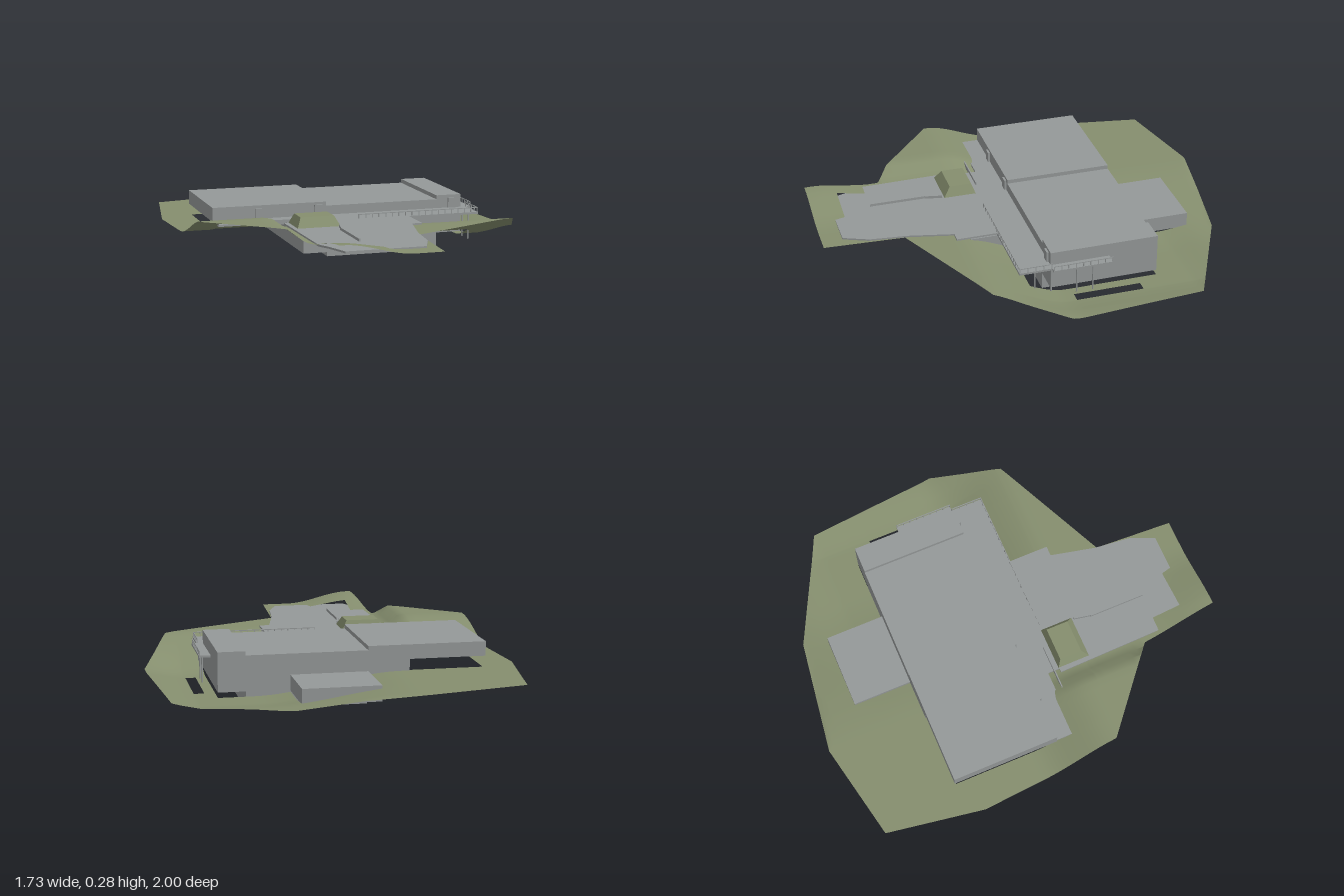
import * as THREE from 'three';

const concrete = new THREE.MeshStandardMaterial({ color: 0x949898 });
concrete.name = 'concrete';
const grass = new THREE.MeshStandardMaterial({ color: 0x858e6e, side: THREE.DoubleSide });
grass.name = 'grass';

const { lerp, smoothstep } = THREE.MathUtils;

// Site outline: [z, x] along the west and east edges
const WEST = [[-1, -0.31], [-0.9, -0.79], [-0.42, -0.87], [0.28, -0.82], [0.62, -0.42], [1, -0.38]];
const EAST = [[-1, -0.31], [-0.92, 0.27], [-0.66, 0.8], [0, 0.86], [0.34, 0.72], [0.61, 0.13], [1, 0.11]];

// Openings in the ground: x0, x1, z0, z1
const HOLES = [
  [-0.7, -0.34, -0.5, 0.0],    // under the raised west wing
  [-0.34, 0.23, -0.51, 0.31],  // basement and lower hall
  [0.23, 0.57, -0.51, 0.12],   // east wing
  [-0.14, 0.23, -0.8, -0.51],  // rear annex
  [0.62, 0.67, -0.41, -0.08],  // light slot
  [-0.32, 0.06, 0.31, 0.85],   // forecourt
];

function edgeX(edge, z) {
  for (let i = 1; i < edge.length; i++) {
    const [z0, x0] = edge[i - 1], [z1, x1] = edge[i];
    if (z <= z1) return lerp(x0, x1, (z - z0) / (z1 - z0));
  }
  return edge[edge.length - 1][1];
}

// Ground height: a low north-east, a high south and a ridge to the south-west
function groundHeight(x, z) {
  const east = 0.06 + 0.145 * smoothstep(z, -0.06, 0.38) + 0.028 * smoothstep(x, 0.66, 0.86) * (1 - smoothstep(z, 0.05, 0.3))
    + 0.02 * (1 - smoothstep(z, -0.85, -0.65));
  const ridge = 0.055 * (1 - smoothstep(x, -0.5, -0.41));
  const west = 0.15 + (0.055 + ridge) * smoothstep(z, -0.1, 0.28);
  const corner = 0.058 * smoothstep(z, 0.62, 1) * (1 - smoothstep(x, -0.36, -0.03));
  return lerp(west, east, smoothstep(x, -0.3, 0.4)) + corner;
}

function gridLines(from, to, step, extra) {
  const lines = [...extra];
  for (let v = from; v <= to + 1e-6; v += step) lines.push(+v.toFixed(3));
  return [...new Set(lines)].sort((a, b) => a - b);
}

// Grid clamped to the outline, with cells left out at the openings
function buildGround() {
  const xs = gridLines(-0.88, 0.88, 0.04, HOLES.flatMap(h => [h[0], h[1]]));
  const zs = gridLines(-1, 1, 0.04, [...HOLES.flatMap(h => [h[2], h[3]]), ...WEST.map(p => p[0]), ...EAST.map(p => p[0])]);
  const pos = [], index = [], n = xs.length;
  for (const z of zs) {
    const lo = edgeX(WEST, z), hi = edgeX(EAST, z);
    for (const x0 of xs) {
      const x = Math.min(Math.max(x0, lo), hi);
      pos.push(x, groundHeight(x, z), z);
    }
  }
  const tri = (a, b, c) => {
    const area = (pos[b * 3] - pos[a * 3]) * (pos[c * 3 + 2] - pos[a * 3 + 2])
      - (pos[c * 3] - pos[a * 3]) * (pos[b * 3 + 2] - pos[a * 3 + 2]);
    if (Math.abs(area) > 1e-9) index.push(a, b, c);
  };
  for (let j = 0; j < zs.length - 1; j++) {
    for (let i = 0; i < n - 1; i++) {
      const cx = (xs[i] + xs[i + 1]) / 2, cz = (zs[j] + zs[j + 1]) / 2;
      if (HOLES.some(h => cx > h[0] && cx < h[1] && cz > h[2] && cz < h[3])) continue;
      const a = j * n + i, b = a + 1, c = a + n, d = c + 1;
      tri(a, c, b);
      tri(b, c, d);
    }
  }
  const geo = new THREE.BufferGeometry();
  geo.setAttribute('position', new THREE.Float32BufferAttribute(pos, 3));
  geo.setIndex(index);
  geo.computeVertexNormals();
  return geo;
}

// Flat slab from a plan of [x, z] corners
function slab(points, y0, y1) {
  const shape = new THREE.Shape(points.map(([x, z]) => new THREE.Vector2(x, -z)));
  const geo = new THREE.ExtrudeGeometry(shape, { depth: y1 - y0, bevelEnabled: false });
  return geo.rotateX(-Math.PI / 2).translate(0, y0, 0);
}

export function createModel() {
  const group = new THREE.Group();
  const add = (name, geo, mat = concrete, parent = group) => {
    const mesh = new THREE.Mesh(geo, mat);
    mesh.name = name;
    parent.add(mesh);
    return mesh;
  };
  const box = (name, x0, x1, y0, y1, z0, z1, parent) => add(name,
    new THREE.BoxGeometry(x1 - x0, y1 - y0, z1 - z0)
      .translate((x0 + x1) / 2, (y0 + y1) / 2, (z0 + z1) / 2), concrete, parent);

  add('ground', buildGround(), grass);

  // Main building
  box('westWing', -0.71, -0.14, 0.205, 0.275, -0.51, 0.02);
  box('centralHall', -0.14, 0.44, 0.08, 0.255, -0.51, 0.02);
  box('eastWing', 0.44, 0.57, 0.085, 0.275, -0.51, 0.02);
  box('basement', -0.135, 0.44, 0, 0.08, -0.51, 0.02);
  box('lowerHall', -0.34, 0.23, 0.085, 0.2, 0.0, 0.31);
  box('lowerWest', -0.34, -0.14, 0.085, 0.205, -0.51, 0.0);
  box('rearAnnex', -0.14, 0.23, 0.08, 0.155, -0.8, -0.51);

  // Terrace, side balcony and forecourt
  add('terrace', slab([[-0.705, 0.0], [-0.705, 0.12], [-0.38, 0.12], [-0.38, 0.18], [0.6, 0.18], [0.6, 0.0]], 0.2, 0.21));
  box('balcony', 0.57, 0.625, 0.2, 0.21, -0.27, 0.02);
  add('forecourt', slab([[-0.4, 0.18], [-0.39, 0.72], [-0.36, 0.78], [-0.32, 0.9], [0.06, 0.9],
    [0.11, 0.78], [0.13, 0.6], [0.18, 0.38], [0.23, 0.38], [0.23, 0.18]], 0.204, 0.213));

  // Grassy mound beside the entrance, narrowed toward its top
  const mound = new THREE.BoxGeometry(0.22, 0.055, 0.17);
  const p = mound.attributes.position;
  for (let i = 0; i < p.count; i++) {
    if (p.getY(i) > 0) p.setXYZ(i, p.getX(i) * 0.75, p.getY(i), p.getZ(i) * 0.65 - 0.01);
  }
  mound.computeVertexNormals();
  add('mound', mound.translate(-0.27, 0.232, 0.26), grass);

  // Low walls on the forecourt
  box('forecourtWall', -0.196, -0.188, 0.2, 0.226, 0.43, 0.71);
  const bend = add('forecourtWallEnd', new THREE.BoxGeometry(0.008, 0.026, 0.085));
  bend.position.set(-0.181, 0.213, 0.39);
  bend.rotation.y = 2.95;
  box('entranceWall', -0.53, -0.25, 0.2, 0.224, 0.149, 0.155);

  // Doorways on the south face
  for (const x of [-0.5, -0.2, 0.5]) box('doorway', x, x + 0.04, 0.21, 0.262, 0.015, 0.03);

  // Railings: posts and a top rail
  const railing = new THREE.Group();
  railing.name = 'railing';
  group.add(railing);
  const rail = (x0, z0, x1, z1) => {
    const t = 0.002;
    const count = Math.round(Math.hypot(x1 - x0, z1 - z0) / 0.035);
    box('topRail', x0 - t, x1 + t, 0.23, 0.234, z0 - t, z1 + t, railing);
    for (let i = 0; i <= count; i++) {
      const x = lerp(x0, x1, i / count), z = lerp(z0, z1, i / count);
      box('railPost', x - t, x + t, 0.21, 0.232, z - t, z + t, railing);
    }
  };
  rail(-0.02, 0.177, 0.597, 0.177);
  rail(0.597, 0.022, 0.597, 0.177);
  rail(0.622, -0.268, 0.622, 0.018);

  // Slim columns holding the terrace and balcony
  for (const [x, z] of [[0.6, -0.18], [0.6, -0.1], [0.58, 0.02], [0.58, 0.1]]) {
    const col = add('column', new THREE.CylinderGeometry(0.004, 0.004, 0.145, 8));
    col.position.set(x, 0.1325, z);
  }

  return group;
}
